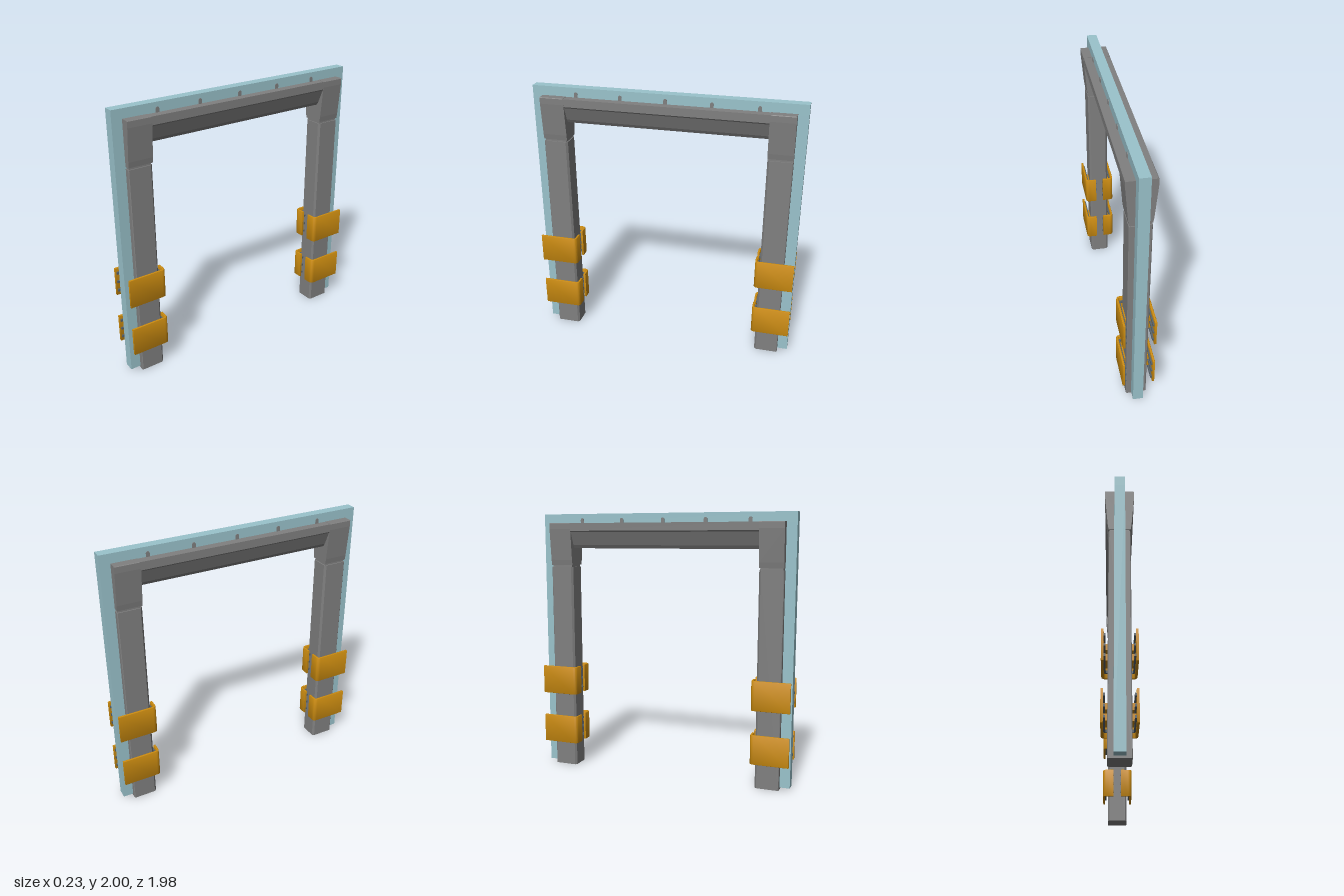
import * as THREE from 'three';
import { toCreasedNormals } from 'three/addons/utils/BufferGeometryUtils.js';

const mat = (name, color) => {
  const m = new THREE.MeshStandardMaterial({ color });
  m.name = name;
  return m;
};

export function createModel() {
  const grey = mat('grey metal', 0x808080);
  const blue = mat('pale blue', 0x9ac3cc);
  const orange = mat('orange', 0xcc8c10);
  const dark = mat('dark slate', 0x59646c);
  const root = new THREE.Group();
  root.name = 'doorFrame';

  const add = (name, geometry, material, x = 0, y = 0, z = 0) => {
    const m = new THREE.Mesh(geometry, material);
    m.name = name;
    m.position.set(x, y, z);
    root.add(m);
    return m;
  };
  const box = (name, w, h, d, material, x, y, z) =>
    add(name, new THREE.BoxGeometry(w, h, d), material, x, y, z);

  // Symmetric profile in x-y (right half given top to bottom), extruded along z
  const alongZ = (half, z0, z1) => {
    const pts = [...half, ...half.slice().reverse().map(([x, y]) => [-x, y])];
    const shape = new THREE.Shape(pts.map(([x, y]) => new THREE.Vector2(x, y)));
    const g = new THREE.ExtrudeGeometry(shape, { depth: z1 - z0, bevelEnabled: false });
    return g.translate(0, 0, z0);
  };
  // Plan shape (x, -z), extruded upwards from y0 to y1, with an optional rounded rim
  const alongY = (shape, y0, y1, b = 0) => {
    const g = new THREE.ExtrudeGeometry(shape, {
      depth: y1 - y0 - 2 * b, bevelEnabled: b > 0, bevelSize: b, bevelThickness: b,
      bevelOffset: -b, bevelSegments: 2, curveSegments: 6,
    });
    return toCreasedNormals(g.rotateX(-Math.PI / 2).translate(0, y0 + b, 0), 0.6);
  };

  // Blue outer frame
  box('outerTopRail', 0.074, 0.075, 1.98, blue, 0, 1.9625, 0);
  for (const s of [1, -1])
    box('outerSideRail', 0.074, 1.91, 0.08, blue, 0, 0.97, s * 0.95);

  // Crossbeam with a tapered underside
  add('crossbeam', alongZ([
    [0.1, 1.93], [0.1, 1.872], [0.092, 1.862], [0.052, 1.765], [0.036, 1.74],
  ], -0.74, 0.74), grey);

  // Small pegs along the top rail
  for (let i = -2; i <= 2; i++) {
    box('peg', 0.084, 0.03, 0.026, grey, 0, 1.94, i * 0.33);
    const cap = new THREE.CylinderGeometry(0.013, 0.013, 0.084, 12).rotateZ(Math.PI / 2);
    add('pegCap', cap, grey, 0, 1.955, i * 0.33);
  }

  // L-shaped plan of a clip: side plate, rounded corner, short return over the inner face
  const clipPlan = (sx, sz, xo, zi, t, xEnd, zEnd, r) => {
    const s = new THREE.Shape();
    const p = (x, z) => [sx * x, -sz * z];
    const ri = Math.max(r - t, 0.004);
    s.moveTo(...p(xo, zEnd));
    s.lineTo(...p(xo, zi + r));
    s.quadraticCurveTo(...p(xo, zi), ...p(xo - r, zi));
    s.lineTo(...p(xEnd, zi));
    s.lineTo(...p(xEnd, zi + t));
    s.lineTo(...p(xo - t - ri, zi + t));
    s.quadraticCurveTo(...p(xo - t, zi + t), ...p(xo - t, zi + t + ri));
    s.lineTo(...p(xo - t, zEnd));
    s.closePath();
    return s;
  };

  for (const s of [1, -1]) {
    // Post with chamfered edges
    const c = 0.014, w = 0.075, a = 0.735, b = 0.915;
    const plan = new THREE.Shape([
      [w, a + c], [w, b - 0.005], [w - 0.005, b], [-w + 0.005, b], [-w, b - 0.005],
      [-w, a + c], [-w + c, a], [w - c, a],
    ].map(([x, z]) => new THREE.Vector2(x, -s * z)));
    add('post', alongY(plan, 0, 1.595), grey);

    // Recessed neck and flared corner block
    box('postNeck', 0.134, 0.03, 0.164, grey, 0, 1.602, s * 0.825);
    const z0 = s > 0 ? a : -b;
    add('cornerBlock', alongZ([
      [0.097, 1.932], [0.101, 1.928], [0.101, 1.885], [0.081, 1.65], [0.075, 1.61],
    ], z0, z0 + 0.18), grey);

    // Two pairs of clips on each post
    for (const y of [0.3, 0.7])
      for (const sx of [1, -1]) {
        add('clip', alongY(clipPlan(sx, s, 0.116, 0.702, 0.016, 0.03, 0.99, 0.03),
          y - 0.11, y + 0.11, 0.004), orange);
        // Inner strips lining the clip
        for (const dy of [-0.07, 0, 0.07].map(v => v + 0.002))
          add('clipStrip', alongY(clipPlan(sx, s, 0.1005, 0.717, 0.012, 0.026, 0.982, 0.016),
            y + dy - 0.009, y + dy + 0.009), dark);
        // Spacer blocks joining the clip to the post
        for (const dy of [-0.035, 0.035])
          box('clipSpacer', 0.03, 0.045, 0.12, orange, sx * 0.088, y + dy, s * 0.82);
      }
  }
  return root;
}
